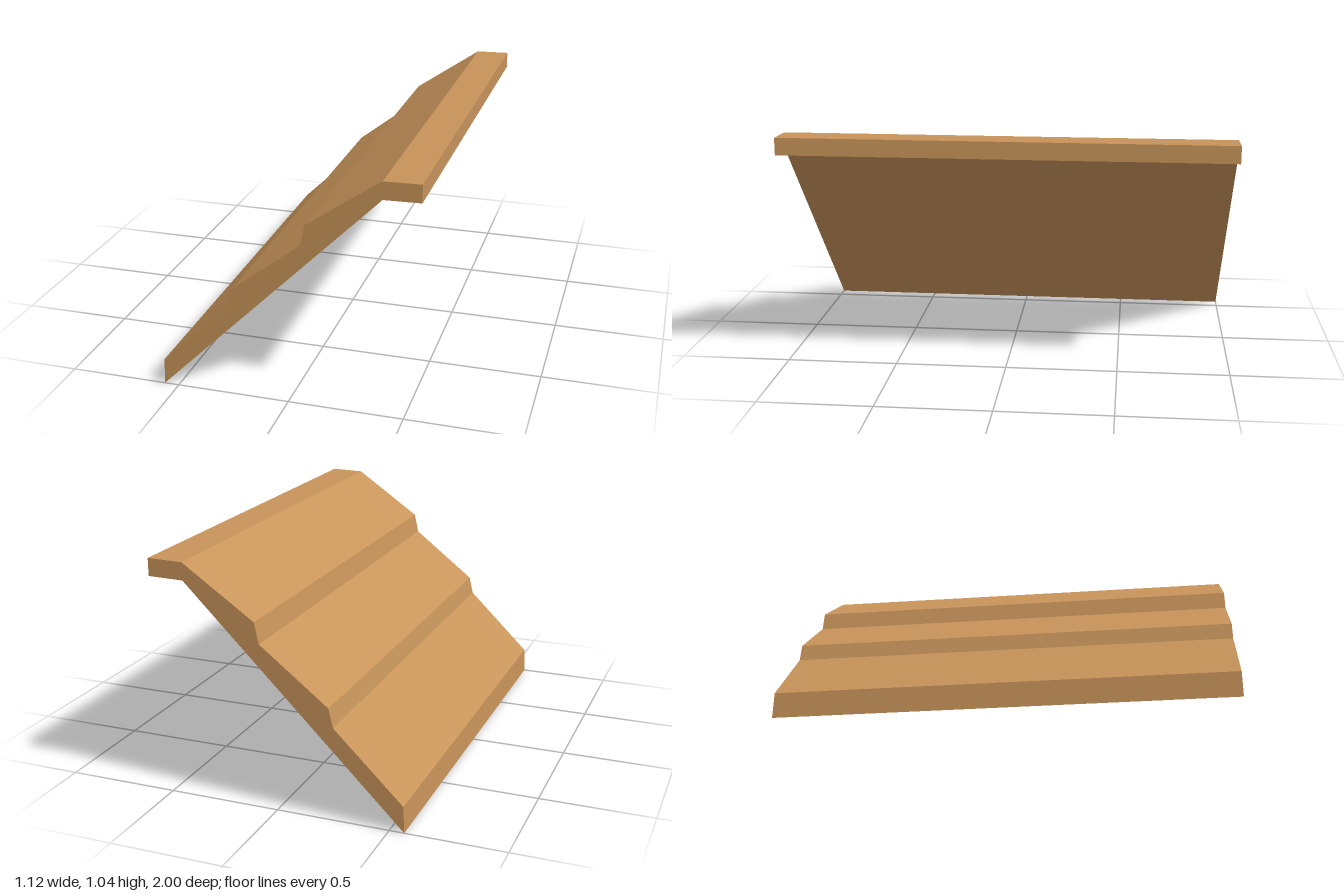
import * as THREE from 'three';

// Stepped roof slope: one side profile drawn in x/y, extruded along z.
const LENGTH = 2;
const PROFILE = [
  [-0.565, 0], [0.403, 0.963], [0.56, 0.966],                   // underside and ridge lip
  [0.56, 1.043], [0.403, 1.04],                                 // flat ridge
  [0.085, 0.822], [0.065, 0.73],                                // upper course and its step
  [-0.237, 0.496], [-0.256, 0.413],                             // middle course and its step
  [-0.56, 0.117],                                               // lower course down to the eave
];

export function createModel() {
  const wood = new THREE.MeshStandardMaterial({ color: 0xc8945a });
  wood.name = 'warm wood';

  const shape = new THREE.Shape(PROFILE.map(([x, y]) => new THREE.Vector2(x, y)));
  const geometry = new THREE.ExtrudeGeometry(shape, { depth: LENGTH, bevelEnabled: false });
  geometry.translate(0, 0, -LENGTH / 2);

  const slope = new THREE.Mesh(geometry, wood);
  slope.name = 'steppedRoofSlope';

  const model = new THREE.Group();
  model.name = 'roofSection';
  model.add(slope);
  return model;
}
